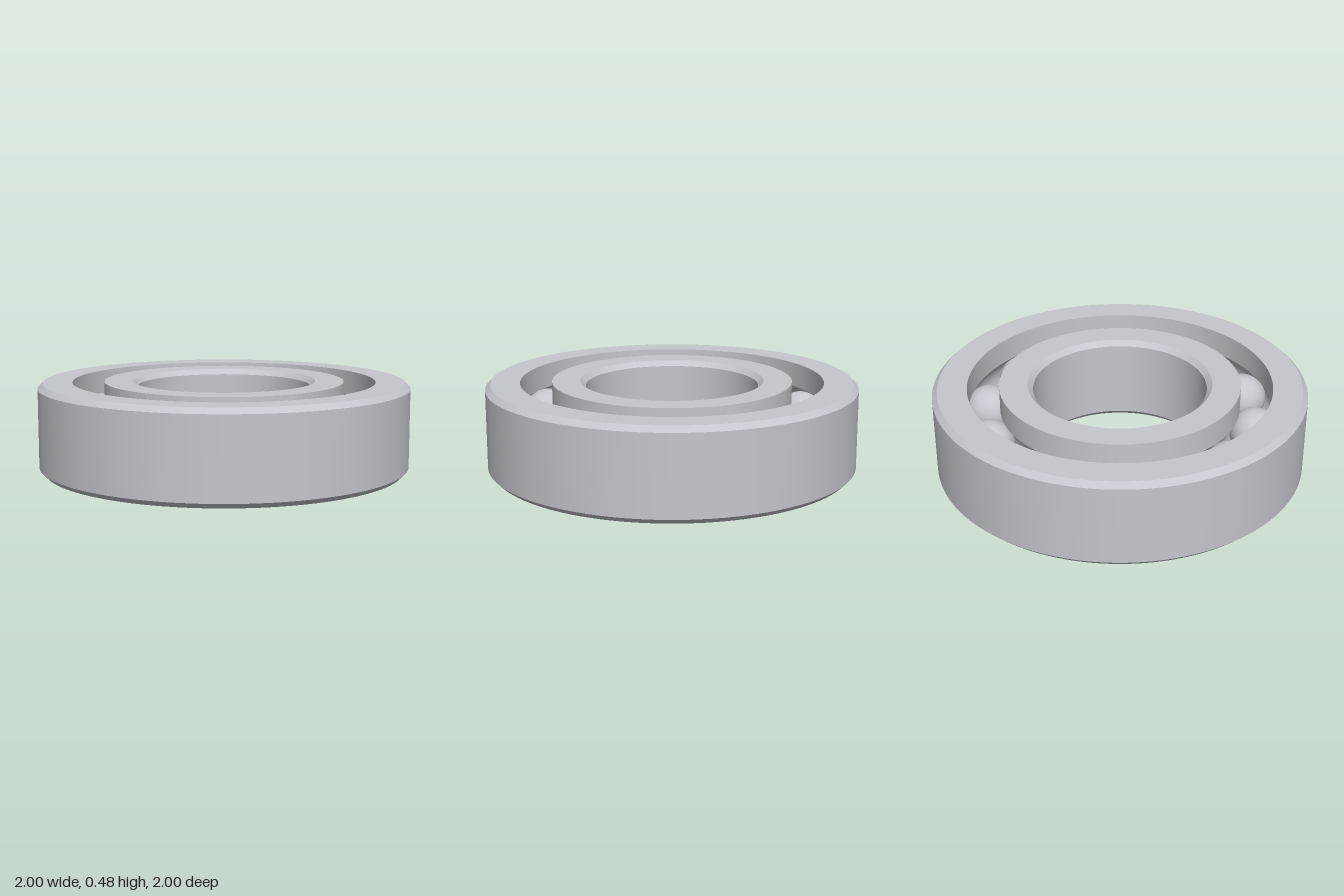
import * as THREE from 'three';
import { toCreasedNormals } from 'three/addons/utils/BufferGeometryUtils.js';

const HEIGHT = 0.48, MID = HEIGHT / 2;
const CHAMFER = 0.028;
const PITCH = 0.73;          // radius of the circle of balls
const BALL = 0.133, GROOVE = 0.135;
const BALL_COUNT = 12;

const steel = new THREE.MeshStandardMaterial({ color: 0xc4c7cd });
steel.name = 'steel';

// Raceway arc about the ball centre, swept from one angle to another
function raceway(from, to, steps = 14) {
  return Array.from({ length: steps + 1 }, (_, i) => {
    const a = from + (to - from) * i / steps;
    return [PITCH + GROOVE * Math.cos(a), MID + GROOVE * Math.sin(a)];
  });
}

// Closed ring turned from a counterclockwise (radius, height) profile
function ring(name, profile) {
  const points = [...profile, profile[0]].map(([r, y]) => new THREE.Vector2(r, y));
  const geometry = toCreasedNormals(new THREE.LatheGeometry(points, 128), 0.5);
  const mesh = new THREE.Mesh(geometry, steel);
  mesh.name = name;
  return mesh;
}

export function createModel() {
  const model = new THREE.Group();
  model.name = 'ballBearing';

  // Outer ring: chamfered outside, grooved inside
  const outerLip = 0.815;
  const outerAngle = Math.acos((outerLip - PITCH) / GROOVE);
  model.add(ring('outerRing', [
    [outerLip, 0], [1 - CHAMFER, 0], [1, CHAMFER],
    [1, HEIGHT - CHAMFER], [1 - CHAMFER, HEIGHT], [outerLip, HEIGHT],
    ...raceway(outerAngle, -outerAngle),
  ]));

  // Inner ring: grooved outside, chamfered bore
  const innerLip = 0.645, bore = 0.465;
  const innerAngle = Math.acos((PITCH - innerLip) / GROOVE);
  model.add(ring('innerRing', [
    [bore + CHAMFER, 0], [innerLip, 0],
    ...raceway(Math.PI + innerAngle, Math.PI - innerAngle),
    [innerLip, HEIGHT], [bore + CHAMFER, HEIGHT],
    [bore, HEIGHT - CHAMFER], [bore, CHAMFER],
  ]));

  // Balls evenly spaced around the raceway
  const balls = new THREE.Group();
  balls.name = 'balls';
  const ballGeometry = new THREE.SphereGeometry(BALL, 40, 24);
  for (let i = 0; i < BALL_COUNT; i++) {
    const a = i / BALL_COUNT * Math.PI * 2;
    const ball = new THREE.Mesh(ballGeometry, steel);
    ball.name = 'ball';
    ball.position.set(PITCH * Math.cos(a), MID, PITCH * Math.sin(a));
    balls.add(ball);
  }
  model.add(balls);

  return model;
}
